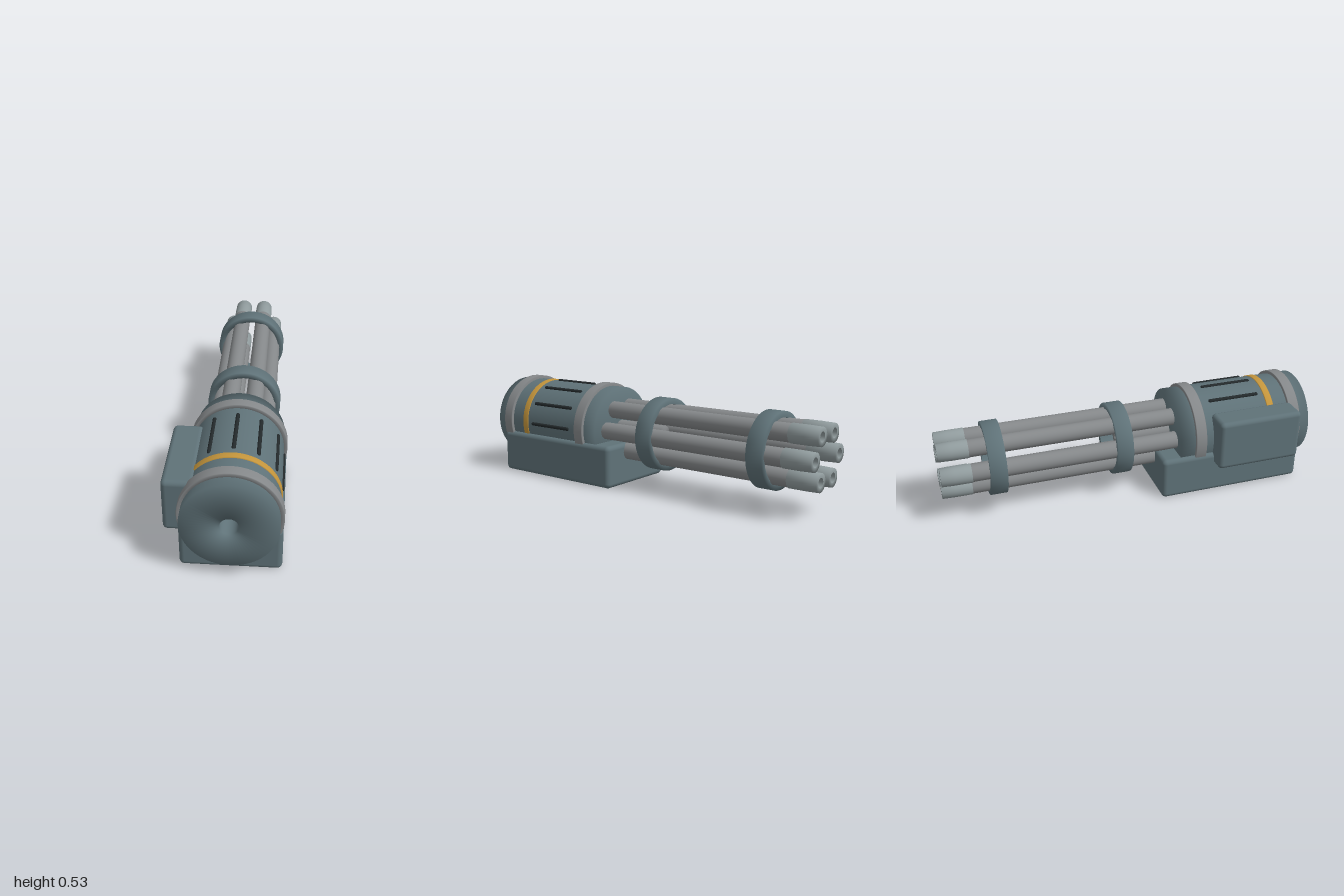
import * as THREE from 'three';
import { RoundedBoxGeometry } from 'three/addons/geometries/RoundedBoxGeometry.js';

const paint = (color) => new THREE.MeshStandardMaterial({ color });

export function createModel() {
  const model = new THREE.Group();
  model.name = 'rotaryCannon';
  const slate = paint(0x5f7278);
  const steel = paint(0x85888a);
  const muzzleSteel = paint(0x8f9a9c);
  const dark = paint(0x23292b);
  const gold = paint(0xc4953c);

  // Everything that spins shares one axis along z
  const axis = new THREE.Group();
  axis.name = 'rotaryAssembly';
  axis.position.set(0.034, 0.292, 0);
  model.add(axis);

  const add = (parent, name, geometry, material, x = 0, y = 0, z = 0) => {
    const mesh = new THREE.Mesh(geometry, material);
    mesh.name = name;
    mesh.position.set(x, y, z);
    parent.add(mesh);
    return mesh;
  };

  // Closed tube around z; outer is a list of [radius, z] from back to front
  const tube = (inner, outer, segments = 32) => {
    const first = outer[0], last = outer[outer.length - 1];
    const profile = [[inner, first[1]], ...outer, [inner, last[1]], [inner, first[1]]];
    return new THREE.LatheGeometry(
      profile.map(([r, z]) => new THREE.Vector2(r, z)), segments).rotateX(Math.PI / 2);
  };
  const band = (inner, outer, z0, z1, bevel) => tube(inner, [
    [outer - bevel, z0], [outer, z0 + bevel], [outer, z1 - bevel], [outer - bevel, z1]], 64);

  // Motor housing with a central bore and a hollow shaft
  add(axis, 'motorHousing', tube(0.043,
    [[0.225, 0.25], [0.225, 0.36], [0.225, 0.91], [0.225, 1]], 64), slate);
  add(axis, 'driveShaft', tube(0.01, [[0.043, -0.05], [0.043, 0.9]]), steel);
  add(axis, 'frontBand', band(0.22, 0.242, 0.88, 0.94, 0.003), steel);
  add(axis, 'rearBand', band(0.22, 0.242, 0.33, 0.39, 0.003), steel);
  add(axis, 'accentBand', band(0.215, 0.229, 0.76, 0.80, 0.004), gold);

  // Cooling slots around the housing
  for (let i = 0; i < 12; i++) {
    const a = (i * Math.PI) / 6;
    add(axis, 'coolingSlot', new THREE.CapsuleGeometry(0.01, 0.27, 4, 10).rotateX(Math.PI / 2),
      dark, Math.cos(a) * 0.224, Math.sin(a) * 0.224, 0.585);
  }

  // Six barrels with wider hollow muzzles
  const barrelShape = tube(0.025, [[0.046, -0.86], [0.046, -0.715], [0.046, -0.05], [0.046, 0.27]]);
  const muzzleShape = tube(0.025, [[0.047, -1], [0.049, -0.93], [0.049, -0.845]]);
  for (let i = 0; i < 6; i++) {
    const a = (i * Math.PI) / 3;
    const barrel = new THREE.Group();
    barrel.name = 'barrel';
    barrel.position.set(Math.cos(a) * 0.125, Math.sin(a) * 0.125, 0);
    add(barrel, 'barrelTube', barrelShape, steel);
    add(barrel, 'muzzle', muzzleShape, muzzleSteel);
    axis.add(barrel);
  }

  // Rings clamping the barrels
  for (const z of [-0.048, -0.715]) {
    add(axis, 'barrelClamp', tube(0.163, [[0.194, -0.043], [0.194, 0.043]], 64), slate, 0, 0, z);
  }

  // Mounting base and the side box
  add(model, 'mountBase', new RoundedBoxGeometry(0.475, 0.23, 0.8, 4, 0.025), slate, 0.0345, 0.115, 0.545);
  add(model, 'sideBox', new RoundedBoxGeometry(0.15, 0.273, 0.467, 4, 0.024), slate, -0.204, 0.3065, 0.668);

  return model;
}
